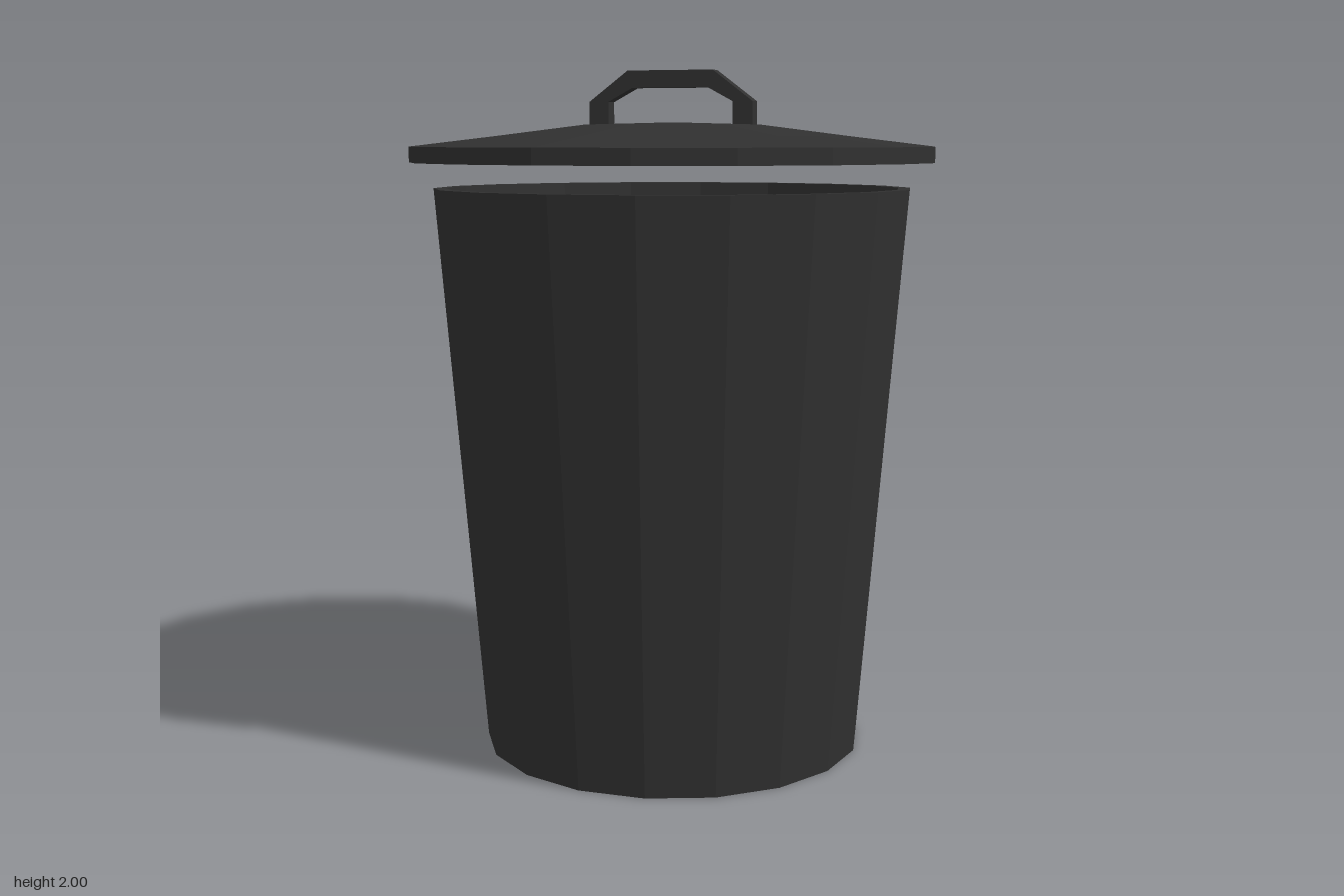
import * as THREE from 'three';

const SIDES = 18;

export function createModel() {
  const model = new THREE.Group();
  const material = new THREE.MeshStandardMaterial({ color: 0x303030, flatShading: true });

  const add = (name, geometry) => {
    const mesh = new THREE.Mesh(geometry, material);
    mesh.name = name;
    model.add(mesh);
    return mesh;
  };

  // Faceted turned part with a corner on the x axis; profile is [radius, height]
  const turned = (profile) => new THREE.LatheGeometry(
    profile.map(([r, y]) => new THREE.Vector2(r, y)), SIDES, Math.PI / 2);

  // Tapered open bin: floor, outer wall, rim, inner wall, inner floor
  add('binBody', turned([
    [0, 0], [0.565, 0], [0.70, 1.66], [0.665, 1.66], [0.535, 0.04], [0, 0.04],
  ]));

  // Shallow domed lid floating just above the rim
  add('lid', turned([
    [0, 1.735], [0.77, 1.735], [0.77, 1.78], [0.52, 1.81], [0.26, 1.843], [0, 1.85],
  ]));

  // Angular arched handle, set slightly off centre
  const outline = [
    [-0.25, 1.83], [-0.25, 1.91], [-0.13, 2.0], [0.13, 2.0], [0.25, 1.91], [0.25, 1.83],
    [0.19, 1.83], [0.19, 1.91], [0.115, 1.95], [-0.115, 1.95], [-0.19, 1.91], [-0.19, 1.83],
  ];
  const shape = new THREE.Shape(outline.map(([x, y]) => new THREE.Vector2(x, y)));
  const handle = add('lidHandle', new THREE.ExtrudeGeometry(shape, { depth: 0.05, bevelEnabled: false }));
  handle.position.set(-0.01, 0, -0.05);

  return model;
}
